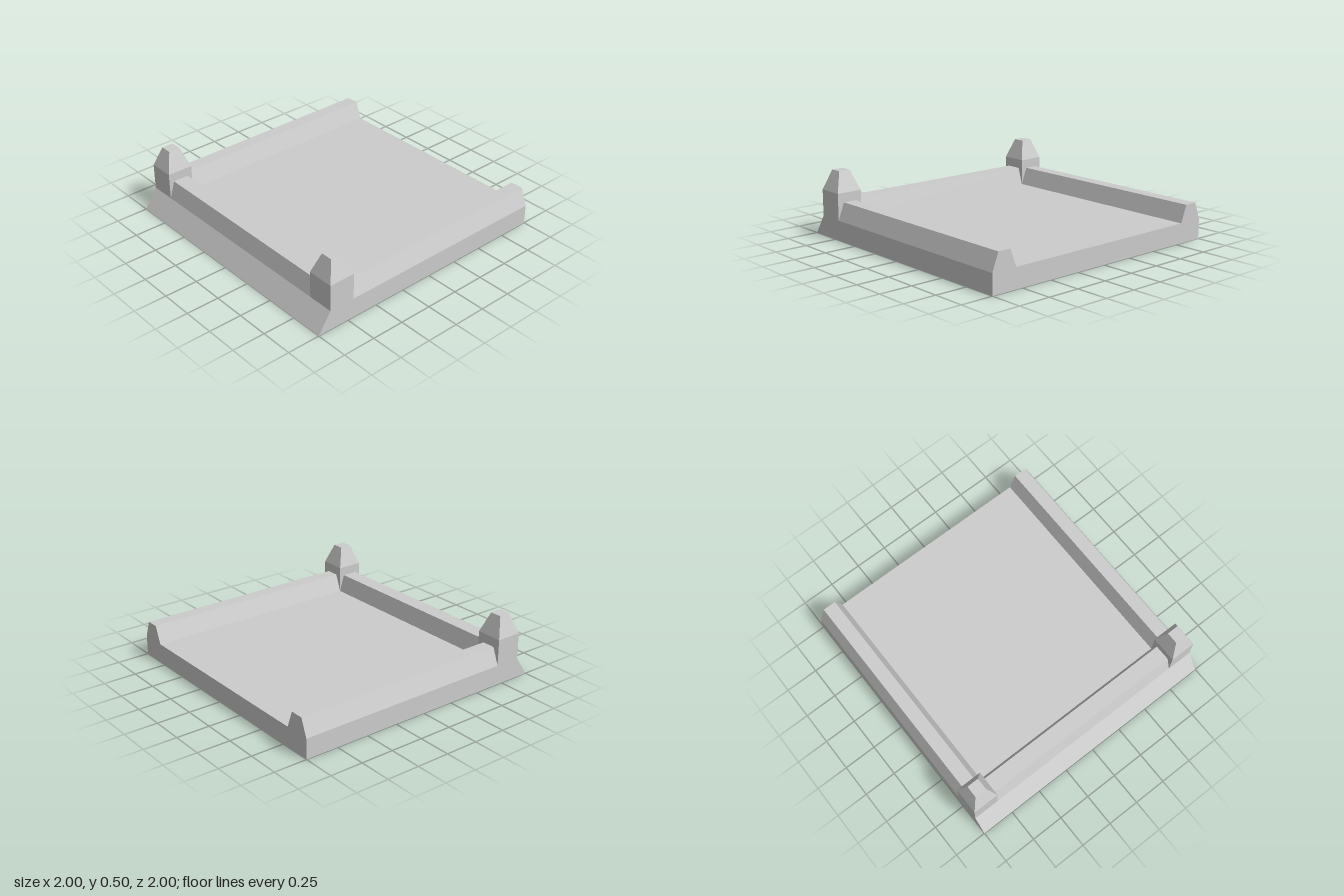
import * as THREE from 'three';

const BASE = 0.15; // floor height
const RIM = 0.28; // top of the low walls

// Open sheet: a 2D profile (x, y) swept along z from z0 to z1, flat faced.
// Profiles run left to right so the faces point up and outward.
function sweep(profile, z0, z1) {
  const pos = [];
  for (let i = 0; i < profile.length - 1; i++) {
    const [ax, ay] = profile[i];
    const [bx, by] = profile[i + 1];
    pos.push(ax, ay, z0, ax, ay, z1, bx, by, z1);
    pos.push(ax, ay, z0, bx, by, z1, bx, by, z0);
  }
  const g = new THREE.BufferGeometry();
  g.setAttribute('position', new THREE.Float32BufferAttribute(pos, 3));
  g.computeVertexNormals();
  return g;
}

function panel(points) {
  return new THREE.ShapeGeometry(new THREE.Shape(points.map(([x, y]) => new THREE.Vector2(x, y))));
}

function flat(geometry) {
  const g = geometry.toNonIndexed();
  g.computeVertexNormals();
  return g;
}

export function createModel() {
  const group = new THREE.Group();
  const stone = new THREE.MeshStandardMaterial({ color: 0xcccccc, side: THREE.DoubleSide });
  stone.name = 'light grey stone';

  const add = (name, geometry, parent = group) => {
    const mesh = new THREE.Mesh(geometry, stone);
    mesh.name = name;
    parent.add(mesh);
    return mesh;
  };

  // Floor, hollow underneath
  add('floor', sweep([[-0.8, BASE], [0.8, BASE]], -1, 0.7));

  // Sloping front skirt and the low wall between the posts
  add('frontSkirt', sweep([[-1, 0], [-0.9, BASE]], -1, 1).rotateY(Math.PI / 2));
  add('frontWall', sweep([[-0.9, BASE], [-0.86, RIM], [-0.74, RIM], [-0.7, BASE]], -0.8, 0.8)
    .rotateY(Math.PI / 2));

  // Back face, including the ends of the side walls
  add('backFace', panel([
    [-1, 0], [1, 0], [1, BASE], [0.95, RIM], [0.85, RIM], [0.8, BASE],
    [-0.8, BASE], [-0.85, RIM], [-0.95, RIM], [-1, BASE],
  ]).rotateY(Math.PI).translate(0, 0, -1));

  for (const side of [1, -1]) {
    const label = side > 0 ? 'left' : 'right';

    // Side wall with bevelled edges
    const wall = [[0.8, BASE], [0.85, RIM], [0.95, RIM], [1, BASE]];
    const profile = side > 0 ? wall : wall.map(([x, y]) => [-x, y]).reverse();
    add(label + 'Wall', sweep(profile, -1, 0.7));

    // Upright side skirt, slanted at the front
    const skirt = [[-1, 0], [1, 0], [1, BASE], [-0.9, BASE]].map(([x, y]) => [x * side, y]);
    add(label + 'Skirt', panel(skirt).rotateY(side * Math.PI / 2).translate(side, 0, 0));

    // Square corner post with a tapered cap
    const post = new THREE.Group();
    post.name = label + 'Post';
    post.position.set(side * 0.9, 0, 0.8);
    const r = 0.1 * Math.SQRT2;
    const top = 0.045 * Math.SQRT2;
    add('postShaft', flat(new THREE.CylinderGeometry(r, r, 0.2, 4, 1, true)
      .rotateY(Math.PI / 4).translate(0, 0.25, 0)), post);
    add('postCap', flat(new THREE.CylinderGeometry(top, r, 0.15, 4, 1, true)
      .rotateY(Math.PI / 4).translate(0, 0.425, 0)), post);
    add('postTop', new THREE.PlaneGeometry(0.09, 0.09).rotateX(-Math.PI / 2)
      .translate(0, 0.5, 0), post);
    group.add(post);
  }

  return group;
}
